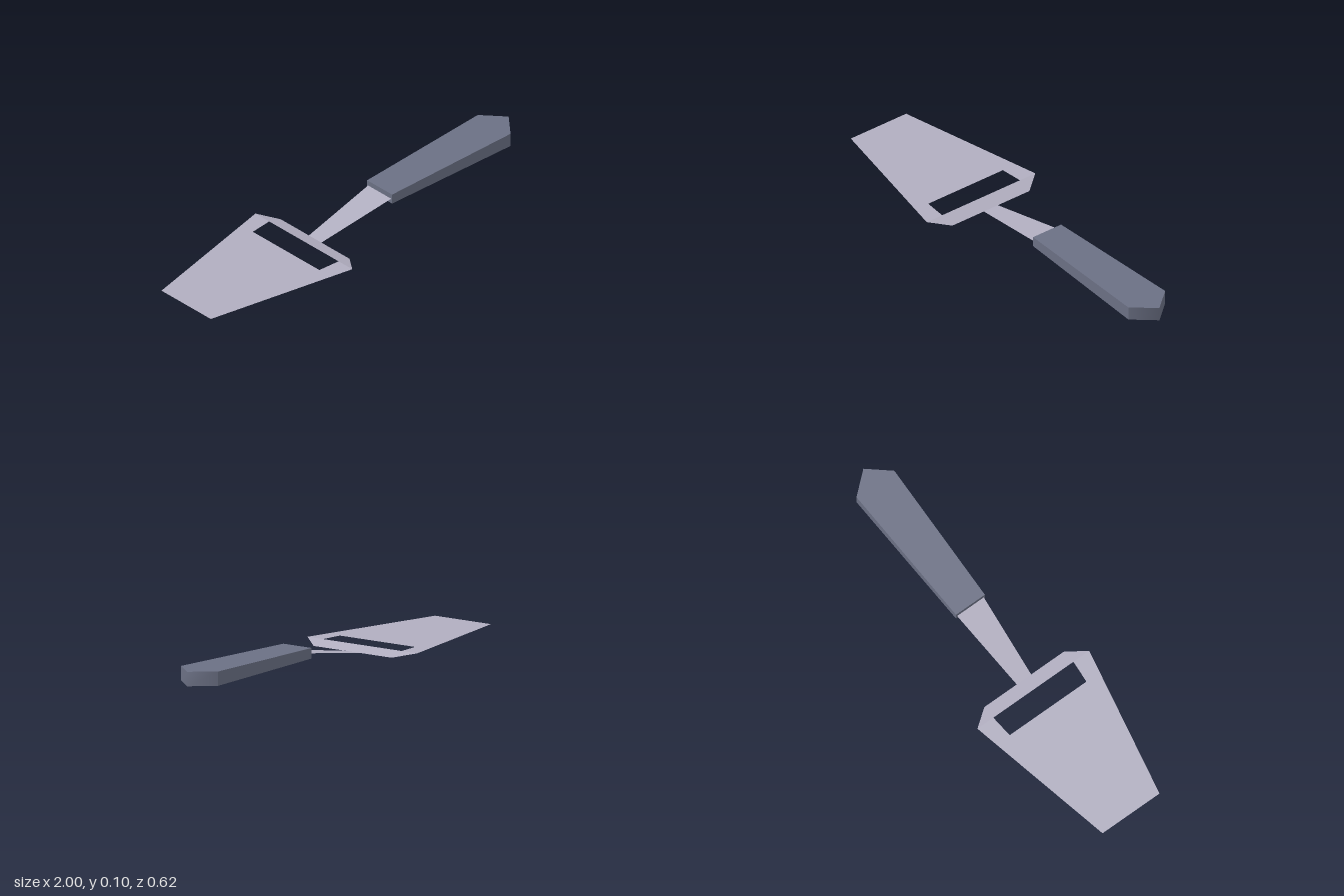
import * as THREE from 'three';

const steel = new THREE.MeshStandardMaterial({ color: 0xb1aec0, side: THREE.DoubleSide });
steel.name = 'steel';
const grip = new THREE.MeshStandardMaterial({ color: 0x6b7084 });
grip.name = 'grip';

// Thin sheet panel: half outline [x, z] mirrored in z, height given by x
function panel(name, half, heightAt) {
  const mirrored = half.map(([x, z]) => [x, -z]).reverse();
  const outline = [...half, ...mirrored].map(([x, z]) => new THREE.Vector2(x, z));
  const geo = new THREE.ShapeGeometry(new THREE.Shape(outline));
  geo.rotateX(-Math.PI / 2);
  const pos = geo.attributes.position;
  for (let i = 0; i < pos.count; i++) pos.setY(i, heightAt(pos.getX(i)));
  geo.computeVertexNormals();
  const mesh = new THREE.Mesh(geo, steel);
  mesh.name = name;
  return mesh;
}

// Mesh from corner points and quads; quads sharing corners shade smoothly
function quads(name, corners, faces) {
  const geo = new THREE.BufferGeometry();
  geo.setAttribute('position', new THREE.Float32BufferAttribute(corners.flat(), 3));
  geo.setIndex(faces.flatMap(([a, b, c, d]) => [a, b, c, a, c, d]));
  geo.computeVertexNormals();
  const mesh = new THREE.Mesh(geo, grip);
  mesh.name = name;
  return mesh;
}

function createHandle() {
  const handle = new THREE.Group();
  handle.name = 'handle';
  // Plan outline, counter-clockwise from above: x, z, bottom, top
  const rim = [
    [0.2, 0.08, 0.042, 0.09],
    [0.91, 0.105, 0.032, 0.097],
    [1, 0, 0.031, 0.097],
    [0.91, -0.105, 0.032, 0.097],
    [0.2, -0.08, 0.042, 0.09],
  ];
  const low = rim.map(([x, z, y]) => [x, y, z]);
  const high = rim.map(([x, z, , y]) => [x, y, z]);
  const wall = (i, j) => [low[i], low[j], high[j], high[i]];

  handle.add(
    quads('handleTop', high, [[0, 1, 3, 4], [1, 2, 3, 3]]),
    quads('handleBottom', low, [[4, 3, 1, 0], [3, 2, 1, 1]]),
    quads('handleLeftWall', wall(0, 1), [[0, 1, 2, 3]]),
    quads('handleRightWall', wall(3, 4), [[0, 1, 2, 3]]),
    quads('handleFrontWall', wall(4, 0), [[0, 1, 2, 3]]),
    // Pointed butt, softly shaded across its ridge
    quads('handleButt', [low[1], low[2], low[3], high[1], high[2], high[3]],
      [[0, 1, 4, 3], [1, 2, 5, 4]])
  );
  return handle;
}

export function createModel() {
  const model = new THREE.Group();
  model.name = 'cheeseSlicer';

  // Flat blade with the cutting slot open towards the heel
  model.add(panel('blade',
    [[-1, -0.158], [-0.27, -0.31], [-0.27, -0.222], [-0.38, -0.213]].reverse(),
    () => 0.02));
  // Heel strip bending down behind the slot
  model.add(panel('bladeHeel', [[-0.27, -0.31], [-0.2, -0.22]],
    (x) => (0.02 * (-0.2 - x)) / 0.07));
  // Tang rising into the handle
  model.add(panel('tang', [[-0.2, -0.04], [0.2, -0.074]],
    (x) => 0.065 * (x + 0.2) / 0.4));
  model.add(createHandle());
  return model;
}
